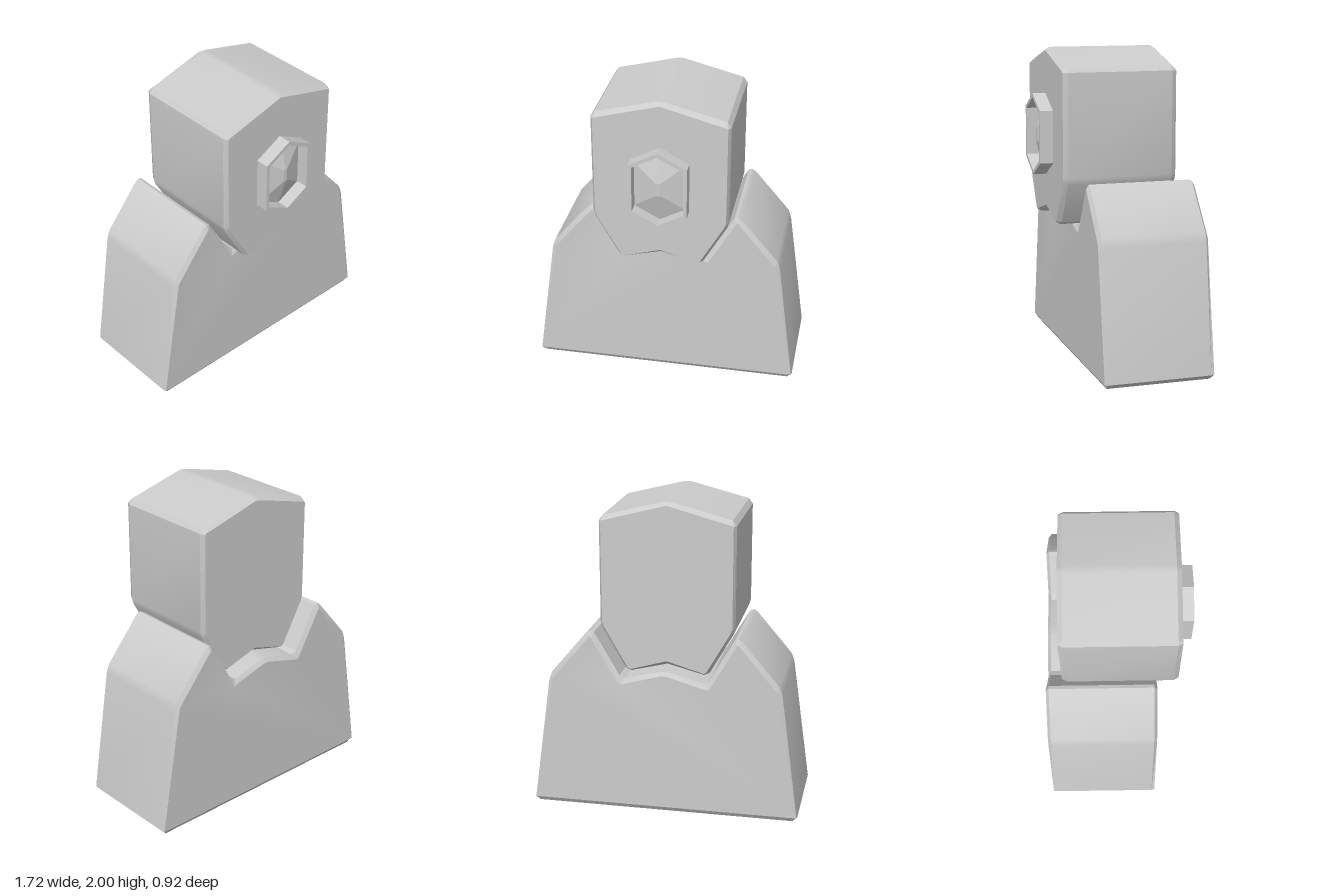
import * as THREE from 'three';
import { toCreasedNormals } from 'three/addons/utils/BufferGeometryUtils.js';

const material = new THREE.MeshStandardMaterial({ color: 0xcccccc });

// Mirror a right-hand half profile (bottom to top or round to the centre) into a closed loop.
function mirrorLoop(half) {
  const left = half.filter(([x]) => x > 0).map(([x, y]) => [-x, y]).reverse();
  return [...half, ...left];
}

// Prism along z with bevelled rims: outline is the widest section, inset the two caps.
function bevelledPrism(outline, inset, back, front, bevel) {
  const rings = [
    [inset, front], [outline, front - bevel], [outline, back + bevel], [inset, back],
  ].map(([loop, z]) => loop.map(([x, y]) => new THREE.Vector3(x, y, z)));
  const n = outline.length, points = [];
  for (let r = 0; r < 3; r++) {
    for (let i = 0; i < n; i++) {
      const j = (i + 1) % n;
      const a = rings[r][i], b = rings[r][j], c = rings[r + 1][i], d = rings[r + 1][j];
      points.push(a, c, d, a, d, b);
    }
  }
  const cap = THREE.ShapeUtils.triangulateShape(inset.map(([x, y]) => new THREE.Vector2(x, y)), []);
  for (const [a, b, c] of cap) {
    points.push(rings[0][a], rings[0][b], rings[0][c], rings[3][a], rings[3][c], rings[3][b]);
  }
  return toCreasedNormals(new THREE.BufferGeometry().setFromPoints(points), 0.4);
}

function addMesh(parent, name, geometry) {
  const mesh = new THREE.Mesh(geometry, material);
  mesh.name = name;
  parent.add(mesh);
  return mesh;
}

// Upright six-sided loop, counter-clockwise from the top.
function hexagon(w, shoulder, tip, cy = 1.45) {
  return [[0, tip], [-w, shoulder], [-w, -shoulder], [0, -tip], [w, -shoulder], [w, shoulder]]
    .map(([x, y]) => new THREE.Vector2(x, y + cy));
}

export function createModel() {
  const model = new THREE.Group();

  // Shoulders and chest with a notch for the head
  const bodyOutline = mirrorLoop([
    [0.83, 0], [0.86, 0.03], [0.745, 0.845], [0.725, 0.9], [0.49, 1.175],
    [0.468, 1.187], [0.445, 1.18], [0.285, 0.905], [0.25, 0.887], [0.03, 0.945],
  ]);
  const bodyInset = mirrorLoop([
    [0.83, 0.03], [0.856, 0.032], [0.717, 0.855], [0.708, 0.872], [0.475, 1.15],
    [0.468, 1.155], [0.461, 1.15], [0.29, 0.855], [0.275, 0.85], [0.02, 0.922],
  ]);
  addMesh(model, 'body', bevelledPrism(bodyOutline, bodyInset, -0.46, 0.245, 0.02));

  // Head with a peaked crown and a notched chin
  const headOutline = mirrorLoop([
    [0, 0.963], [0.235, 0.903], [0.27, 0.92], [0.418, 1.18], [0.43, 1.22],
    [0.43, 1.868], [0.405, 1.902], [0.025, 1.998], [0, 2],
  ]);
  const headInset = mirrorLoop([
    [0, 0.988], [0.235, 0.92], [0.252, 0.928], [0.405, 1.195], [0.414, 1.225],
    [0.414, 1.866], [0.408, 1.872], [0.015, 1.977], [0, 1.98],
  ]);
  addMesh(model, 'head', bevelledPrism(headOutline, headInset, -0.355, 0.375, 0.03));

  // Six-sided eye frame
  const eye = new THREE.Group();
  eye.name = 'eye';
  model.add(eye);
  const frame = new THREE.Shape(hexagon(0.183, 0.165, 0.26));
  frame.holes.push(new THREE.Path(hexagon(0.16, 0.15, 0.235)));
  const frameGeometry = new THREE.ExtrudeGeometry(frame, { depth: 0.09, bevelEnabled: false });
  addMesh(eye, 'eyeFrame', frameGeometry.translate(0, 0, 0.37));

  // Faceted lens rising inside the frame to a small flat centre
  const rim = hexagon(0.16, 0.15, 0.235);
  const crown = hexagon(0.012, 0.04, 0.047);
  const facets = [];
  const at = (p, z) => new THREE.Vector3(p.x, p.y, z);
  for (let i = 0; i < 6; i++) {
    const j = (i + 1) % 6;
    const a = at(rim[i], 0.378), b = at(rim[j], 0.378);
    const c = at(crown[i], 0.435), d = at(crown[j], 0.435);
    facets.push(a, b, d, a, d, c, c, d, new THREE.Vector3(0, 1.45, 0.435));
  }
  const lens = new THREE.BufferGeometry().setFromPoints(facets);
  lens.computeVertexNormals();
  addMesh(eye, 'eyeLens', lens);

  return model;
}
